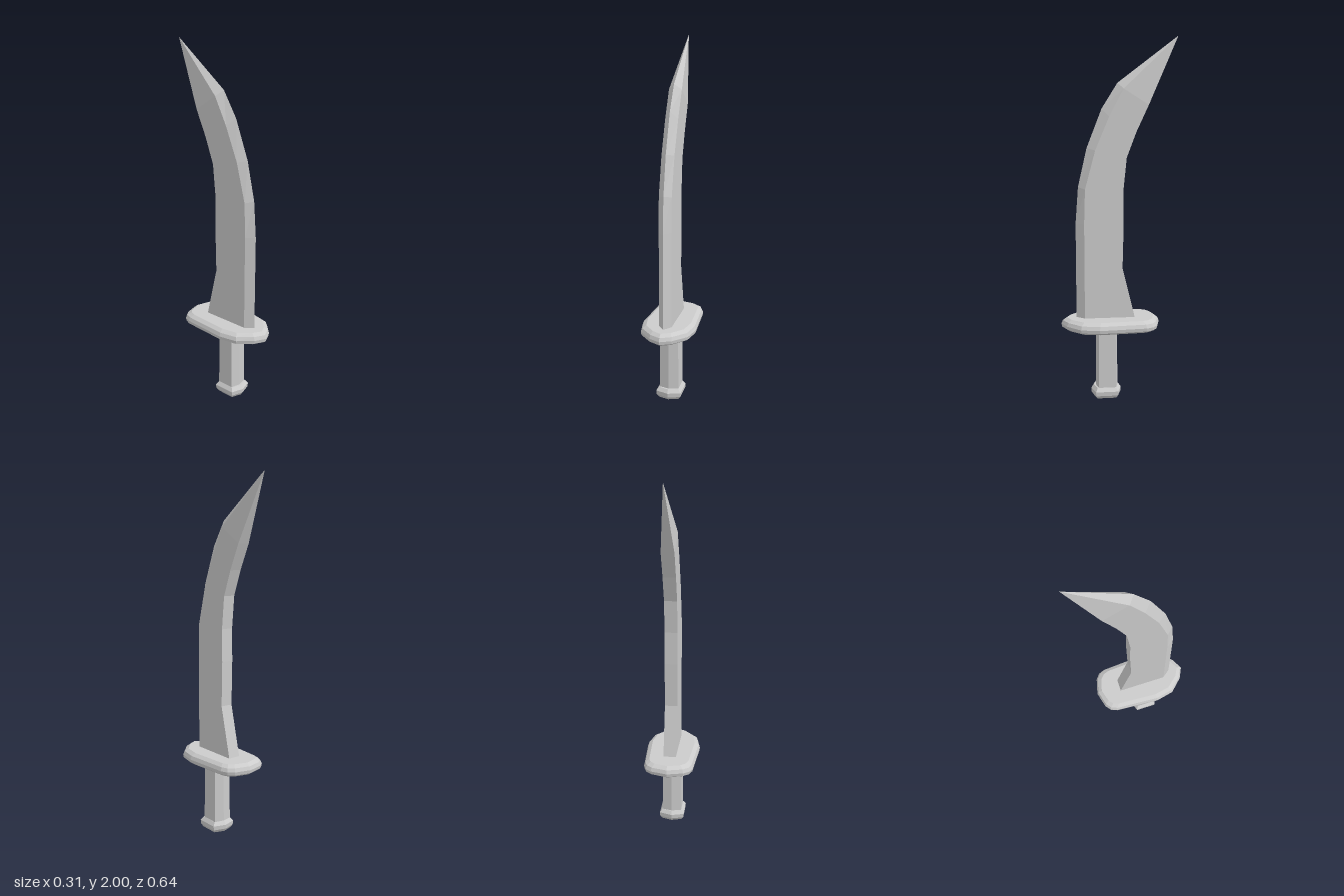
import * as THREE from 'three';

const steel = new THREE.MeshStandardMaterial({ color: 0xcccccc, flatShading: true });

// Skins a stack of rings (each counterclockwise seen from above) and caps both ends.
function loft(name, rings) {
  const pos = [];
  const n = rings[0].length;
  const tri = (a, b, c) => {
    const area = new THREE.Triangle(a, b, c).getArea();
    if (area > 1e-9) for (const p of [a, b, c]) pos.push(p.x, p.y, p.z);
  };
  for (let r = 0; r < rings.length - 1; r++) {
    const lo = rings[r], hi = rings[r + 1];
    for (let i = 0; i < n; i++) {
      const j = (i + 1) % n;
      tri(lo[i], lo[j], hi[j]);
      tri(lo[i], hi[j], hi[i]);
    }
  }
  const first = rings[0], last = rings[rings.length - 1];
  for (let i = 1; i < n - 1; i++) {
    tri(first[0], first[i + 1], first[i]);
    tri(last[0], last[i], last[i + 1]);
  }
  const geometry = new THREE.BufferGeometry();
  geometry.setAttribute('position', new THREE.Float32BufferAttribute(pos, 3));
  geometry.computeVertexNormals();
  const mesh = new THREE.Mesh(geometry, steel);
  mesh.name = name;
  return mesh;
}

// Mirrors a half outline of [x, z] points, listed front to back, into a full one.
function mirror(half) {
  const other = half.filter(([x]) => x > 0).reverse().map(([x, z]) => [-x, z]);
  return [...half, ...other];
}

// Stacks an outline at each [y, inset] level, shrinking it about its centre.
function stack(name, half, levels) {
  const zs = half.map((p) => p[1]);
  const zMax = Math.max(...zs), zMin = Math.min(...zs);
  const cz = (zMax + zMin) / 2, hz = (zMax - zMin) / 2;
  const hx = Math.max(...half.map((p) => p[0]));
  return loft(name, levels.map(([y, inset]) => mirror(half).map(([x, z]) =>
    new THREE.Vector3(x * (1 - inset / hx), y, cz + (z - cz) * (1 - inset / hz)))));
}

// Curved blade: each section has a front edge, two side ridges and a flat back.
function createBlade() {
  const w = 0.035;
  // [edge z, edge y, ridge z, ridge y, back z, back y]
  const sections = [
    [0.235, 0.44, 0.19, 0.44, -0.095, 0.44],
    [0.235, 0.75, 0.19, 0.75, -0.02, 0.75],
    [0.235, 1.0, 0.19, 1.0, -0.026, 1.0],
    [0.22, 1.2, 0.184, 1.19, -0.024, 1.18],
    [0.172, 1.41, 0.128, 1.4, -0.042, 1.36],
    [0.09, 1.62, 0.052, 1.58, -0.095, 1.5],
    [0.005, 1.755, -0.025, 1.725, -0.16, 1.64],
  ];
  const rings = sections.map(([ez, ey, rz, ry, bz, by]) => [
    new THREE.Vector3(0, ey, ez),
    new THREE.Vector3(w, ry, rz),
    new THREE.Vector3(w, by, bz),
    new THREE.Vector3(-w, by, bz),
    new THREE.Vector3(-w, ry, rz),
  ]);
  rings.push(rings[0].map(() => new THREE.Vector3(0, 2, -0.32)));
  return loft('blade', rings);
}

export function createModel() {
  const group = new THREE.Group();
  group.name = 'curvedSword';

  group.add(createBlade());

  // Bevelled hand guard, pointed at the front
  group.add(stack('guard', [
    [0, 0.32], [0.062, 0.29], [0.132, 0.217], [0.154, 0.115],
    [0.137, -0.145], [0.122, -0.182], [0.09, -0.207], [0, -0.23],
  ], [[0.4, 0.025], [0.414, 0.003], [0.432, 0], [0.452, 0.008], [0.467, 0.03]]));

  // Six-sided grip, slightly wider at the bottom
  group.add(stack('grip', [
    [0, 0.13], [0.055, 0.116], [0.055, 0.018], [0, 0.005],
  ], [[0.03, 0], [0.42, 0.003]]));

  // Bevelled pommel
  group.add(stack('pommel', [
    [0, 0.155], [0.071, 0.133], [0.071, 0.008], [0, -0.014],
  ], [[0, 0.014], [0.018, 0.002], [0.042, 0], [0.062, 0.014]]));

  return group;
}
